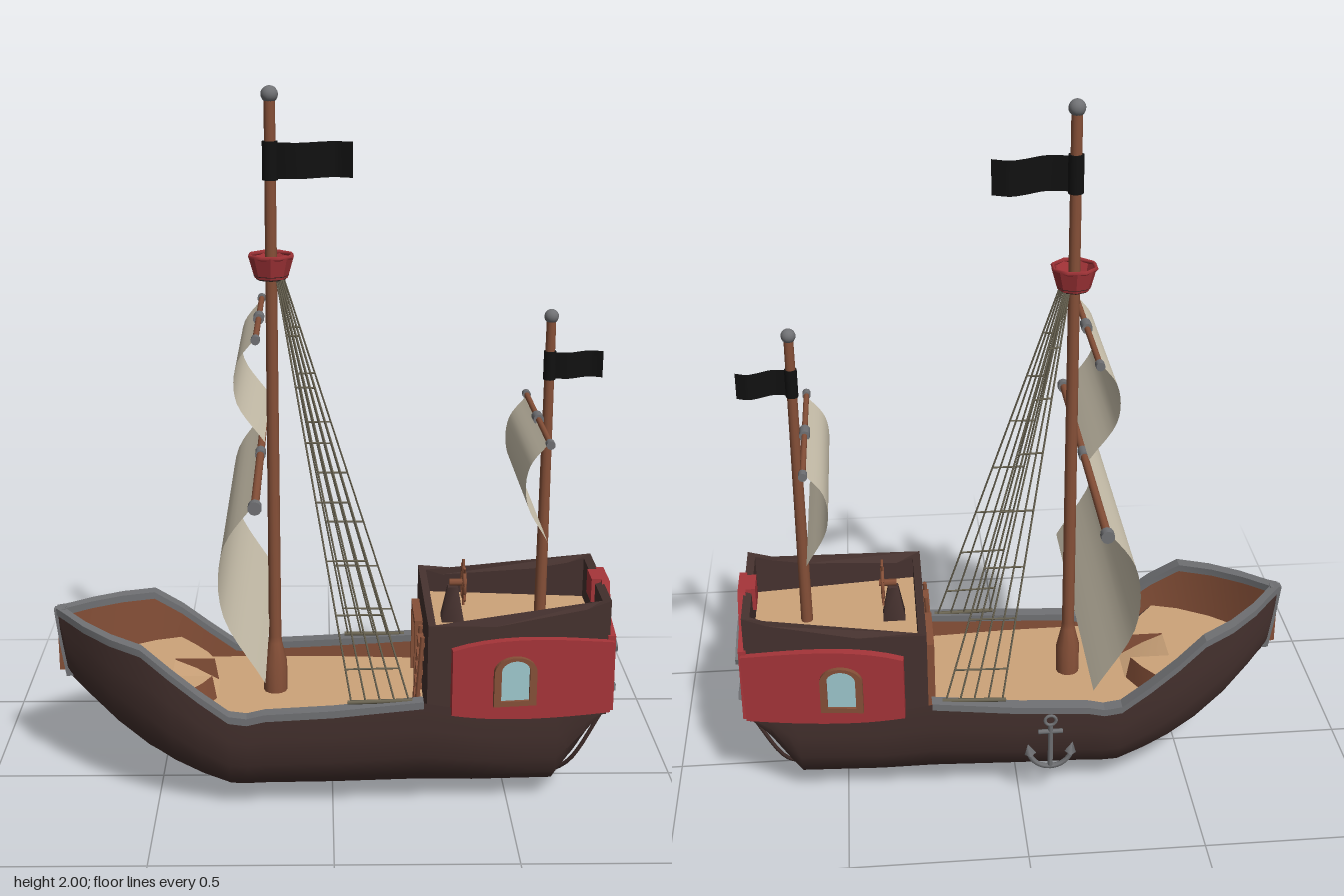
import * as THREE from 'three';
import { toCreasedNormals } from 'three/addons/utils/BufferGeometryUtils.js';

const V = (x, y, z) => new THREE.Vector3(x, y, z);
const paint = (color, extra = {}) => new THREE.MeshStandardMaterial({ color, side: THREE.DoubleSide, ...extra });

export function createModel() {
  const ship = new THREE.Group();
  const dark = paint(0x46322f), red = paint(0xa63539), deckMat = paint(0xcda47a), grey = paint(0x707174);
  const wood = paint(0x865038), sailMat = paint(0xcfc6b1), black = paint(0x111111), glass = paint(0x9fc9cf), rope = paint(0x6b6553);

  const add = (name, geo, mat, parent = ship) => {
    const m = new THREE.Mesh(geo, mat);
    m.name = name;
    parent.add(m);
    return m;
  };
  const box = (name, w, h, d, x, y, z, mat, parent) =>
    add(name, new THREE.BoxGeometry(w, h, d).translate(x, y, z), mat, parent);
  const ball = (name, r, x, y, z, mat) => add(name, new THREE.SphereGeometry(r, 14, 10).translate(x, y, z), mat);
  // straight round bar between two points
  const rod = (name, a, b, r, mat, parent, sides = 6) => {
    const d = b.clone().sub(a);
    const m = add(name, new THREE.CylinderGeometry(r, r, d.length(), sides), mat, parent);
    m.position.copy(a).addScaledVector(d, 0.5);
    m.quaternion.setFromUnitVectors(V(0, 1, 0), d.normalize());
    return m;
  };
  // skin through rows of points
  const loft = (rows, crease = 0.6) => {
    const n = rows[0].length, index = [];
    for (let i = 0; i < rows.length - 1; i++)
      for (let j = 0; j < n - 1; j++) {
        const a = i * n + j, b = a + n;
        index.push(a, b, a + 1, b, b + 1, a + 1);
      }
    const g = new THREE.BufferGeometry().setFromPoints(rows.flat());
    g.setIndex(index);
    return toCreasedNormals(g, crease);
  };
  const shapeOf = pts => new THREE.Shape(pts.map(p => new THREE.Vector2(...p)));
  const extrude = (shape, depth) => new THREE.ExtrudeGeometry(shape, { depth, bevelEnabled: false, curveSegments: 10 });
  // flat horizontal plate from (x, z) outline
  const plate = (name, pts, y, mat) => add(name, new THREE.ShapeGeometry(shapeOf(pts.map(([x, z]) => [x, -z]))).rotateX(-Math.PI / 2).translate(0, y, 0), mat);
  const mirrorZ = pts => [...pts, ...pts.slice().reverse().map(([x, z]) => [x, -z])];

  // hull stations: x, half width, keel height, rail height
  const stations = [
    [-.79, .008, .5, .535], [-.765, .032, .335, .53], [-.7, .105, .26, .52], [-.62, .173, .18, .51], [-.53, .225, .105, .5],
    [-.45, .25, .06, .44], [-.37, .257, .025, .375], [-.29, .26, 0, .315], [-.24, .26, 0, .308], [-.19, .26, 0, .32],
    [0, .258, 0, .33], [.25, .245, 0, .35], [.4, .235, 0, .32], [.63, .212, 0, .31], [.66, .21, .06, .305], [.71, .205, .17, .3], [.765, .197, .29, .3]];
  const half = [[0, 0], [.3, .08], [.58, .18], [.78, .3], [.92, .5], [.98, .75], [1, 1]];
  const section = [...half.slice(1).reverse().map(([w, t]) => [-w, t]), ...half];
  add('hull', loft(stations.map(([x, w, k, r]) => section.map(([f, t]) => V(x, k + (r - k) * t, f * w)))), dark);

  // inner bulwarks and rails, open part only
  const open = stations.slice(0, 12);
  for (const s of [1, -1]) {
    const inner = w => Math.max(w - .03, .002);
    add('innerBulwark', loft(open.map(([x, w, , r]) => [V(x, r, s * inner(w)), V(x, x < -.4 ? .345 : .27, s * inner(w))])), wood);
    add('rail', loft(open.map(([x, w, , r]) =>
      [[w + .006, r - .015], [w + .006, r + .006], [inner(w) - .002, r + .006], [inner(w) - .002, r - .015]].map(([z, y]) => V(x, y, s * z))), .3), grey);
  }
  add('stem', extrude(shapeOf([[-.797, .538], [-.785, .43], [-.77, .33], [-.74, .33], [-.765, .538]]), .026).translate(0, 0, -.013), grey);

  // main deck, and foredeck with a sloped stair notch
  plate('mainDeck', mirrorZ([[-.5, .2], [-.37, .232], [0, .234], [.27, .22]]), .28, deckMat);
  const edge = [[-.46, .225], [-.41, .165], [-.37, .11], [-.345, .06], [-.46, .06]];
  plate('foredeck', mirrorZ([[-.765, .004], [-.7, .076], [-.62, .144], [-.53, .196], ...edge]), .35, deckMat);
  for (const s of [1, -1])
    add('foredeckBulkhead', loft(edge.map(([x, z]) => [V(x, .35, s * z), V(x + .012, .28, s * z)]), .7), wood);
  add('foredeckSteps', loft([-.06, .06].map(z => [V(-.47, .35, z), V(-.40, .32, z), V(-.33, .28, z)])), deckMat);

  // stern castle: ring wall with a sheer line rising aft
  const topLine = [[.26, .575], [.33, .555], [.45, .565], [.6, .583], [.7, .605], [.78, .632]];
  const topAt = x => {
    let i = 0;
    while (i < topLine.length - 2 && x > topLine[i + 1][0]) i++;
    const [[x0, y0], [x1, y1]] = [topLine[i], topLine[i + 1]];
    return y0 + (y1 - y0) * (x - x0) / (x1 - x0);
  };
  const ringPts = (inset) => {
    const xs = [.26 + inset, .33, .45, .6, .7, .768 - inset];
    return mirrorZ(xs.map(x => [x, .233 - (x - .26) * .095 - inset]));
  };
  const ring = shapeOf(ringPts(0));
  ring.holes.push(shapeOf(ringPts(.022)));
  const castle = extrude(ring, 1).rotateX(-Math.PI / 2);
  const p = castle.attributes.position;
  for (let i = 0; i < p.count; i++) p.setY(i, p.getY(i) < .5 ? .285 : topAt(p.getX(i)));
  castle.computeVertexNormals();
  add('castleWall', castle, dark);
  plate('quarterdeck', ringPts(.015), .5, deckMat);

  // red side panels with arched windows
  const arch = (w, h) => {
    const s = new THREE.Shape();
    s.moveTo(-w, 0); s.lineTo(w, 0); s.lineTo(w, h);
    s.absellipse(0, h, w, w * .75, 0, Math.PI, false);
    s.closePath();
    return s;
  };
  for (const s of [1, -1]) {
    const side = new THREE.Group();
    side.name = 'castleSide';
    side.position.set(.55, 0, s * .216);
    side.rotation.y = s * .11;
    ship.add(side);
    const panel = new THREE.Shape();
    panel.moveTo(-.225, .315);
    panel.bezierCurveTo(-.12, .295, 0, .285, .225, .3);
    panel.lineTo(.23, .512);
    panel.bezierCurveTo(.1, .525, -.08, .55, -.225, .508);
    add('sidePanel', extrude(panel, .024).translate(0, 0, -.012), red, side);
    const frame = arch(.06, .1);
    frame.holes.push(new THREE.Path(arch(.04, .09).getPoints(10).map(q => q.setY(q.y + .015))));
    add('windowFrame', extrude(frame, .05).translate(-.05, .34, -.025), wood, side);
    add('windowGlass', extrude(arch(.042, .09), .034).translate(-.05, .354, -.017), glass, side);
  }

  // stern panel, trims and windows (drawn in z-y, turned to face aft)
  const aft = (name, shape, depth, x, mat) => add(name, extrude(shape, depth).rotateY(Math.PI / 2).translate(x, 0, 0), mat);
  aft('sternPanel', shapeOf([[-.2, .305], [-.1, .292], [.1, .292], [.2, .305], [.19, .525], [.1, .545], [.055, .635], [-.055, .635], [-.1, .545], [-.19, .525]]), .022, .762, red);
  box('sternBlock', .045, .07, .08, .758, .6, 0, red);
  const trim = (y0, tip, y1, name) => {
    const s = new THREE.Shape();
    s.moveTo(-.17, y0);
    s.quadraticCurveTo(0, tip, .17, y0);
    s.lineTo(.165, y0 + (tip > y0 ? -.018 : .018));
    s.quadraticCurveTo(0, y1, -.165, y0 + (tip > y0 ? -.018 : .018));
    aft(name, s, .02, .775, grey);
  };
  trim(.485, .54, .49, 'sternTrimTop');
  trim(.35, .285, .35, 'sternTrimBottom');
  for (const z of [-.105, 0, .105]) box('sternWindow', .012, .1, .062, .782, .42, z, glass);
  for (let i = -3; i <= 3; i++)
    add('sternRib', new THREE.TubeGeometry(new THREE.CatmullRomCurve3([
      V(.63, .015 + Math.abs(i) * .008, i * .02), V(.685, .12, i * .043), V(.765, .295, i * .055)]), 10, .006, 5), dark);

  // castle front: door and ladder
  box('door', .012, .17, .13, .256, .37, -.075, wood);
  for (const z of [-.15, 0]) box('doorPost', .026, .2, .02, .25, .38, z, wood);
  box('doorLintel', .026, .022, .17, .25, .485, -.075, wood);
  for (const z of [.075, .155]) rod('ladderPost', V(.235, .28, z), V(.25, .51, z), .007, wood);
  for (let i = 0; i < 5; i++) box('ladderRung', .018, .01, .08, .24 + i * .002, .315 + i * .042, .115, wood);

  // steering wheel
  add('wheelStand', new THREE.CylinderGeometry(.02, .045, .1, 4).rotateY(Math.PI / 4).translate(.345, .55, 0), dark);
  rod('wheelAxle', V(.335, .612, 0), V(.385, .612, 0), .01, wood);
  add('wheelRim', new THREE.TorusGeometry(.042, .006, 6, 20).rotateY(Math.PI / 2).translate(.375, .612, 0), wood);
  for (let i = 0; i < 4; i++) {
    const a = i * Math.PI / 4 + .2, y = Math.sin(a) * .066, z = Math.cos(a) * .066;
    rod('wheelSpoke', V(.375, .612 - y, -z), V(.375, .612 + y, z), .004, wood);
  }

  // masts
  const mast = (name, x, profile) => add(name, new THREE.LatheGeometry(profile.map(q => new THREE.Vector2(...q)), 12).translate(x, 0, 0), wood);
  mast('mainMast', -.165, [[.034, .28], [.034, .37], [.02, .43], [.018, .45], [.015, 1.98]]);
  mast('mizzenMast', .597, [[.017, .5], [.013, 1.385]]);
  ball('mainMastCap', .023, -.165, 1.98, 0, grey);
  ball('mizzenMastCap', .02, .597, 1.387, 0, grey);

  // lookout basket
  add('basket', new THREE.CylinderGeometry(.062, .045, .06, 8, 1, true).translate(-.165, 1.525, 0), paint(0xa63539, { flatShading: true }));
  add('basketFloor', new THREE.CylinderGeometry(.048, .04, .012, 8).translate(-.165, 1.497, 0), dark);
  add('basketRim', new THREE.TorusGeometry(.06, .006, 4, 8).rotateX(Math.PI / 2).rotateY(Math.PI / 8).translate(-.165, 1.555, 0), red);

  // yards with sails billowing forward: x, top, height, yard half, sail half, belly, foot shift
  for (const [name, x, y, h, yard, w, belly, foot] of [
    ['main', -.2, 1, .5, .465, .43, .1, .02], ['top', -.2, 1.385, .28, .265, .245, .06, .02], ['mizzen', .57, 1.1, .28, .255, .242, .06, .006]]) {
    rod(name + 'Yard', V(x, y, -yard), V(x, y, yard), name === 'main' ? .011 : .008, wood, ship, 10);
    for (const s of [1, -1]) rod(name + 'YardCap', V(x, y, s * (yard - .012)), V(x, y, s * (yard + .012)), name === 'main' ? .018 : .012, grey, ship, 10);
    rod(name + 'YardCollar', V(x, y, -.022), V(x, y, .022), .015, grey, ship, 10);
    const curve = new THREE.CatmullRomCurve3([V(x, y, 0), V(x - belly * .85, y - h * .25, 0), V(x - belly * .9, y - h * .6, 0), V(x + foot, y - h, 0)]);
    add(name + 'Sail', loft(curve.getPoints(16).map(q => [V(q.x, q.y, -w), V(q.x, q.y, w)]), 1), sailMat);
  }

  // flags
  for (const [name, x, y, h, len, r] of [['mainFlag', -.165, 1.808, .095, .22, .021], ['mizzenFlag', .597, 1.25, .074, .148, .017]]) {
    add(name + 'Sleeve', new THREE.CylinderGeometry(r, r, h * 1.08, 12).translate(x, y, 0), black);
    const curve = new THREE.CatmullRomCurve3([[0, 0], [.35, .05], [.6, -.07], [.78, -.13], [1, -.05]].map(([u, z]) => V(x + u * len, y, z * len)));
    add(name, loft(curve.getPoints(16).map(q => [V(q.x, y - h / 2, q.z), V(q.x, y + h / 2, q.z)]), 1), black);
  }

  // rope ladders
  for (const s of [1, -1]) {
    const shroud = new THREE.Group();
    shroud.name = 'shroud';
    ship.add(shroud);
    const tops = [], feet = [];
    for (let i = 0; i < 5; i++) {
      tops.push(V(-.15 + i * .004, 1.495, s * (.02 + i * .003)));
      feet.push(V(.05 + i * .04, .35, s * (.236 - i * .002)));
      rod('shroudRope', tops[i], feet[i], .0028, rope, shroud, 5);
    }
    for (const t of [.13, .25, .38, .52, .66, .79, .92])
      rod('shroudRung', tops[0].clone().lerp(feet[0], t), tops[4].clone().lerp(feet[4], t), .0028, rope, shroud, 5);
    rod('shroudBar', V(.04, .35, s * .238), V(.22, .352, s * .23), .006, rope, shroud);
  }

  // anchor on the hull side
  const anchor = new THREE.Group();
  anchor.name = 'anchor';
  anchor.position.set(-.085, .21, -.264);
  ship.add(anchor);
  rod('anchorShank', V(0, -.08, 0), V(0, .06, 0), .008, grey, anchor);
  rod('anchorStock', V(-.035, .04, 0), V(.035, .04, 0), .007, grey, anchor);
  add('anchorRing', new THREE.TorusGeometry(.016, .005, 6, 14).translate(0, .078, 0), grey, anchor);
  add('anchorArms', new THREE.TorusGeometry(.062, .008, 6, 18, Math.PI * .9).rotateZ(Math.PI * 1.05).translate(0, -.02, 0), grey, anchor);
  for (const s of [1, -1])
    add('anchorFluke', new THREE.ConeGeometry(.017, .035, 4).rotateZ(s * -.2).translate(s * .061, -.018, 0), grey, anchor);

  return ship;
}
